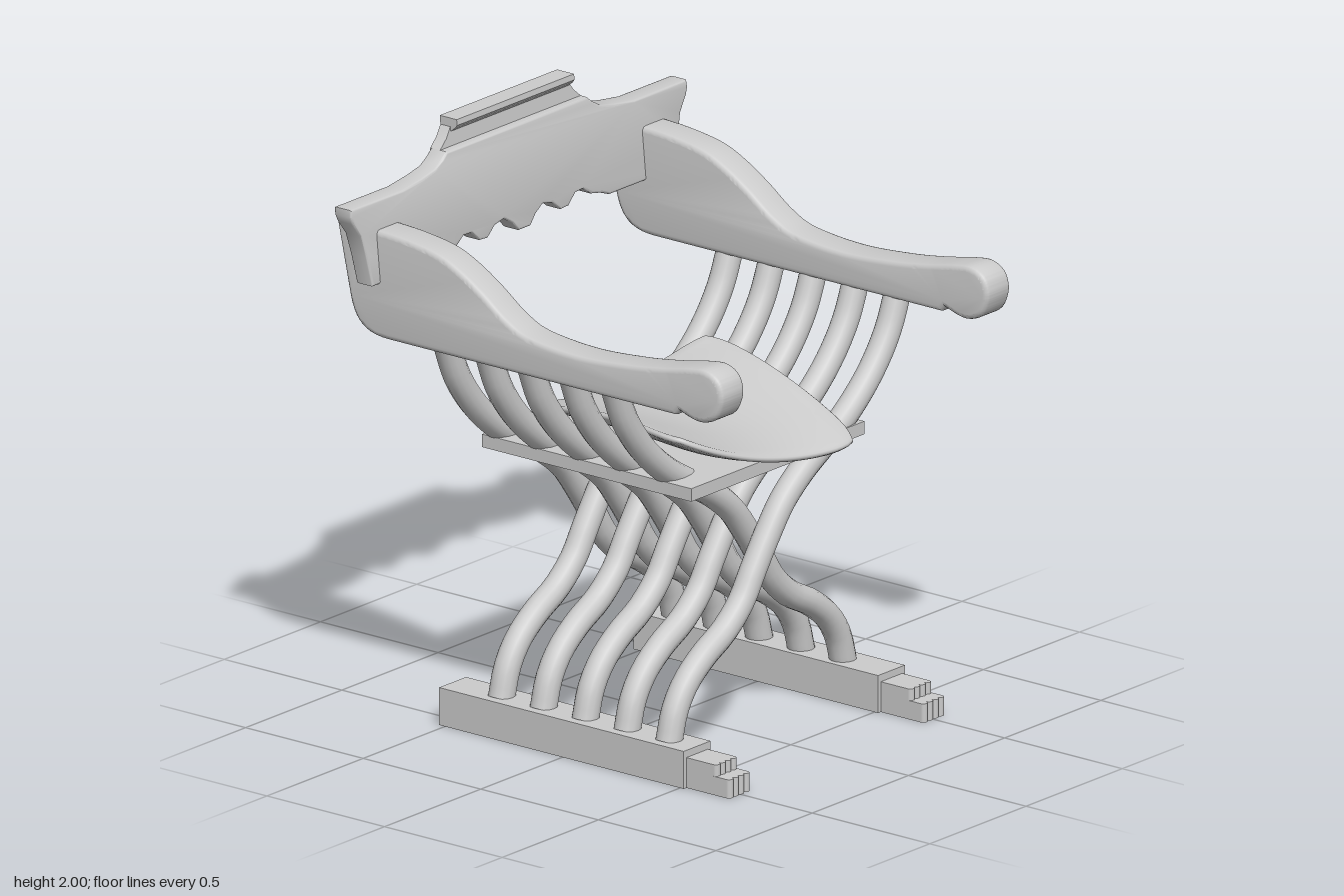
import * as THREE from 'three';
import { mergeVertices, toCreasedNormals } from 'three/addons/utils/BufferGeometryUtils.js';

const material = new THREE.MeshStandardMaterial({ color: 0xcccccc, side: THREE.DoubleSide });
const vec2s = (pts) => pts.map(([x, y]) => new THREE.Vector2(x, y));

function add(parent, name, geometry, x = 0, y = 0, z = 0) {
  const mesh = new THREE.Mesh(geometry, material);
  mesh.name = name;
  mesh.position.set(x, y, z);
  parent.add(mesh);
  return mesh;
}

// Extrusion centred on z = 0, with small rounded edges inside the outline
function slab(shape, depth, bevel) {
  const geo = new THREE.ExtrudeGeometry(shape, {
    depth: depth - 2 * bevel, curveSegments: 10, bevelEnabled: bevel > 0,
    bevelSize: bevel, bevelThickness: bevel, bevelOffset: -bevel, bevelSegments: 3,
  });
  geo.translate(0, 0, -depth / 2 + bevel);
  return toCreasedNormals(geo, 0.6);
}

// S-curved slats, five leaning each way and interleaved
function addSlats(group) {
  const path = [[-0.505, 0.12], [-0.475, 0.22], [-0.42, 0.3], [-0.33, 0.37], [-0.22, 0.43],
    [-0.13, 0.51], [-0.07, 0.6], [0, 0.7], [0.08, 0.8], [0.18, 0.88], [0.3, 0.95],
    [0.42, 1.025], [0.54, 1.13], [0.63, 1.25], [0.69, 1.39]];
  for (const side of [1, -1]) {
    const curve = new THREE.CatmullRomCurve3(path.map(([x, y]) => new THREE.Vector3(x * side, y, 0)));
    const geo = new THREE.TubeGeometry(curve, 48, 0.046, 14);
    for (let i = 0; i < 5; i++) {
      add(group, 'crossSlat', geo, 0, 0, (side > 0 ? 0.395 : 0.31) - 0.178 * i);
    }
  }
}

// Foot rail ending in four stepped toes
function addFoot(group, x) {
  const foot = new THREE.Group();
  foot.name = 'foot';
  foot.position.x = x;
  add(foot, 'footRail', new THREE.BoxGeometry(0.14, 0.13, 1.04), 0, 0.065, -0.005);
  for (let i = 0; i < 4; i++) {
    const tx = (i - 1.5) * 0.028;
    for (const [height, end] of [[0.105, 0.63], [0.065, 0.685]]) {
      add(foot, 'toe', new THREE.BoxGeometry(0.028, height, end - 0.5), tx, height / 2, (end + 0.5) / 2);
      add(foot, 'toeTip', new THREE.CylinderGeometry(0.014, 0.014, height, 12), tx, height / 2, end);
    }
  }
  group.add(foot);
}

// Armrest: side profile with a front knob and a raised back
function armGeometry() {
  const shape = new THREE.Shape();
  shape.moveTo(-0.6, 1.365);
  shape.lineTo(0.62, 1.365);
  shape.lineTo(0.635, 1.383);
  shape.splineThru(vec2s([[0.69, 1.365], [0.74, 1.362], [0.79, 1.385], [0.815, 1.43], [0.82, 1.475],
    [0.8, 1.52], [0.75, 1.545], [0.68, 1.54], [0.55, 1.515], [0.4, 1.495], [0.2, 1.483],
    [0, 1.5], [-0.1, 1.54], [-0.2, 1.61], [-0.3, 1.67], [-0.4, 1.71], [-0.55, 1.732], [-0.7, 1.738]]));
  shape.lineTo(-0.82, 1.745);
  shape.lineTo(-0.765, 1.49);
  shape.bezierCurveTo(-0.745, 1.4, -0.7, 1.365, -0.6, 1.365);
  return slab(shape, 0.125, 0.018).rotateY(-Math.PI / 2);
}

// Leaning backrest: shaped plank, thin neck and a lip along the top
function addBackrest(group) {
  const half = [[0.03, 1.553], [0.06, 1.585], [0.1, 1.61], [0.15, 1.6], [0.19, 1.568], [0.23, 1.57],
    [0.27, 1.605], [0.31, 1.607], [0.35, 1.58], [0.4, 1.57], [0.44, 1.555], [0.79, 1.555],
    [0.81, 1.66], [0.83, 1.735], [0.865, 1.785], [0.875, 1.81], [0.873, 1.835], [0.6, 1.835],
    [0.5, 1.848], [0.43, 1.862], [0.39, 1.885], [0.365, 1.905]];
  const mirror = (pts) => [...pts, ...pts.map(([x, y]) => [-x, y]).reverse()];
  const outline = (pts) => new THREE.Shape(vec2s(mirror(pts)));
  const lean = (geo) => {
    const p = geo.attributes.position;
    for (let i = 0; i < p.count; i++) p.setZ(i, p.getZ(i) - 0.665 - 0.095 * (p.getY(i) - 1.555));
    return toCreasedNormals(geo, 0.6);
  };
  const back = new THREE.Group();
  back.name = 'backrest';
  add(back, 'backPlank', lean(slab(outline(half), 0.072, 0.008)));
  const neck = outline([[0.368, 1.89], [0.365, 1.905], [0.33, 1.935], [0.305, 1.97]]);
  add(back, 'crestNeck', lean(slab(neck, 0.042, 0).translate(0, 0, -0.015)));
  const lip = new THREE.Shape(vec2s([[-0.036, 1.955], [0.008, 1.955], [0.028, 1.97],
    [0.036, 1.98], [0.036, 2], [-0.036, 2]]));
  add(back, 'crestLip', lean(slab(lip, 0.61, 0).rotateY(-Math.PI / 2)));
  group.add(back);
}

// Cushion: pillow box sagging in the middle, with uneven corner heights
function cushionGeometry() {
  let geo = new THREE.BoxGeometry(2, 2, 2, 24, 4, 24);
  geo.deleteAttribute('uv');
  geo.deleteAttribute('normal');
  geo = mergeVertices(geo);
  const p = geo.attributes.position;
  const mix = THREE.MathUtils.lerp;
  for (let i = 0; i < p.count; i++) {
    const u = p.getX(i), h = p.getY(i), v = p.getZ(i);
    const s = (u + 1) / 2, t = (v + 1) / 2;
    const round = 0.98 + 0.02 * Math.sqrt(1 - h * h);
    const a = u * (1 - 0.07 * v ** 8) * round, b = v * (1 - 0.07 * u ** 8) * round;
    const x = mix(mix(-0.32, 0.46, (a + 1) / 2), mix(-0.48, 0.3, (a + 1) / 2), (b + 1) / 2);
    const z = mix(mix(-0.375, 0.42, (b + 1) / 2), mix(-0.235, 0.57, (b + 1) / 2), (a + 1) / 2);
    const base = mix(mix(1.07, 1.15, s), mix(1.145, 0.99, s), t);
    const bend = 0.035 * u * u * (1 - v * v) - 0.055 * (1 - u * u);
    const thick = 0.012 + 0.022 * (1 - u ** 4) * (1 - v ** 4);
    p.setXYZ(i, x, base + bend + h * thick, z);
  }
  geo.computeVertexNormals();
  return geo;
}

export function createModel() {
  const chair = new THREE.Group();
  chair.name = 'foldingArmchair';
  addSlats(chair);
  const arm = armGeometry();
  for (const side of [1, -1]) {
    addFoot(chair, side * 0.505);
    add(chair, 'armrest', arm, side * 0.69);
  }
  addBackrest(chair);
  add(chair, 'seatBoard', new THREE.BoxGeometry(0.9, 0.045, 0.89), 0, 0.972, 0);
  add(chair, 'cushion', cushionGeometry());
  return chair;
}
